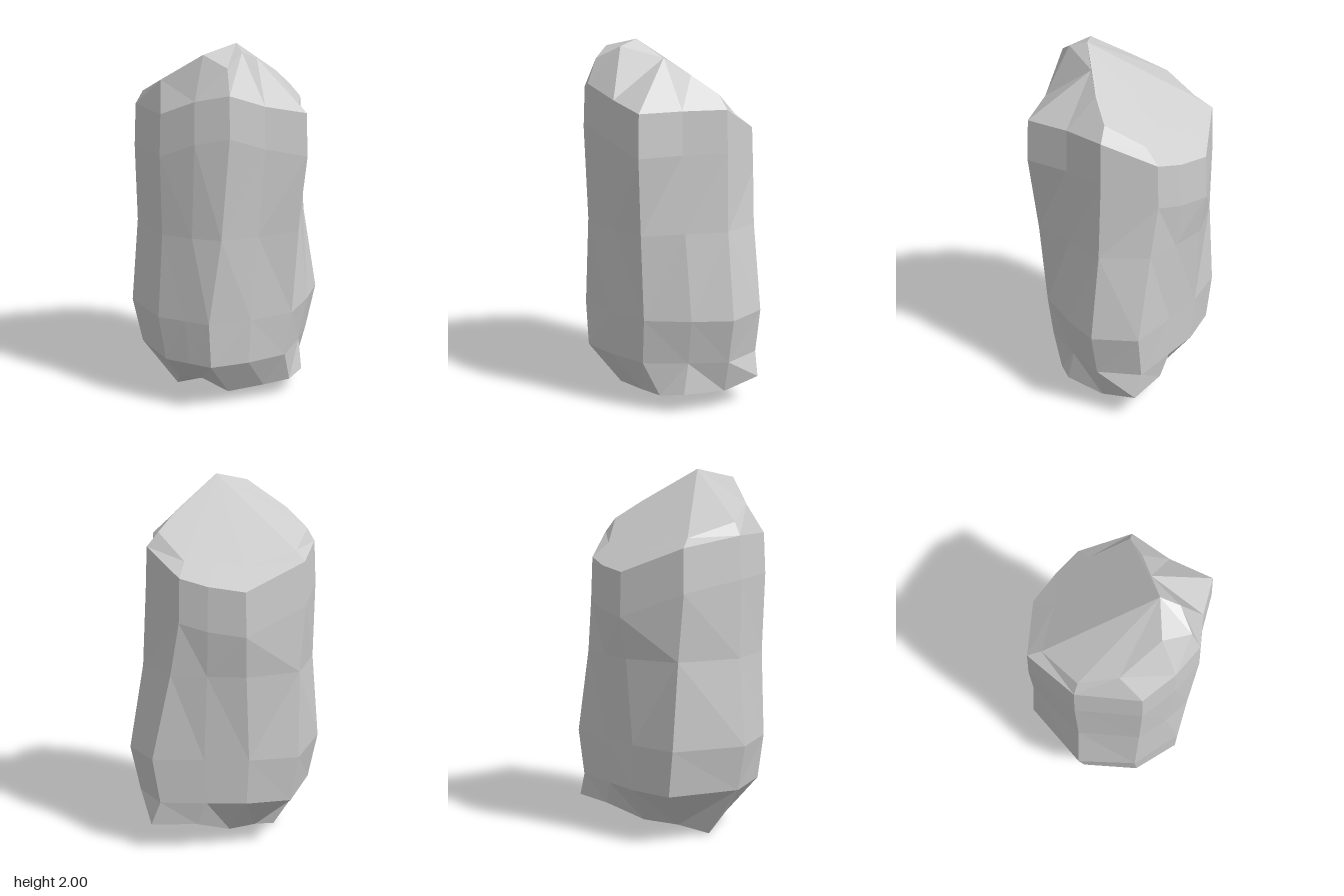
import * as THREE from 'three';

// Outlines as x, z corners, running from the front round through +x
const HIPS = [-.11, .455, .12, .39, .35, .28, .46, .05, .53, -.165, .4, -.385,
  .12, -.4, -.12, -.41, -.39, -.36, -.53, .03, -.38, .32, -.24, .39];
const CHEST = [0, .47, .19, .39, .415, .33, .4, .08, .43, -.165, .25, -.4,
  .1, -.445, -.1, -.475, -.42, -.31, -.5, .02, -.36, .34, -.18, .43];
// Underside rim and crown as x, y, z corners in the same order
const UNDERSIDE = [0, .07, .29, .2, .085, .24, .35, .095, .19, .43, .11, .08,
  .43, .1, -.16, .41, .15, -.37, .16, .15, -.37, -.02, .07, -.25,
  -.17, .05, -.13, -.28, 0, 0, -.27, .1, .14, -.14, .13, .24];
const CROWN = [-.01, 1.9, .41, .07, 1.965, .3, .16, 1.905, .09, .27, 1.82, -.02,
  .36, 1.725, -.14, .22, 1.595, -.3, .06, 1.595, -.3, -.1, 1.57, -.33,
  -.37, 1.64, -.24, -.45, 1.72, .02, -.35, 1.81, .2, -.13, 1.955, .31];
const SIDES = 12;

const cornerRing = (points) =>
  Array.from({ length: SIDES }, (_, i) => new THREE.Vector3().fromArray(points, 3 * i));

// A ring between hips (t = 0) and chest (t = 1), scaled, with heights by a rule
function ring(t, scaleX, scaleZ, height) {
  return Array.from({ length: SIDES }, (_, i) => {
    const x = THREE.MathUtils.lerp(HIPS[2 * i], CHEST[2 * i], t) * scaleX;
    const z = THREE.MathUtils.lerp(HIPS[2 * i + 1], CHEST[2 * i + 1], t) * scaleZ;
    return new THREE.Vector3(x, height(z), z);
  });
}

// The shoulder rises at the front and follows the slanted break at the back
const shoulderHeight = (z) => Math.min(1.65 + 0.9 * Math.max(0, z - 0.33), 1.838 + 0.81 * z);

function buildStone() {
  const rings = [
    cornerRing(UNDERSIDE),
    ring(0, 0.9, 0.98, () => 0.28),
    ring(0, 1, 1, () => 0.53),
    ring(0.6, 0.96, 0.98, () => 1),
    ring(1, 1, 1, (z) => shoulderHeight(z) - 0.23),
    ring(1, 0.98, 0.98, shoulderHeight),
    cornerRing(CROWN),
  ];
  const corners = [];

  // walls: each quad is split along its shorter diagonal
  for (let j = 0; j < rings.length - 1; j++) {
    for (let i = 0; i < SIDES; i++) {
      const k = (i + 1) % SIDES;
      const a = rings[j][i], b = rings[j][k], c = rings[j + 1][k], d = rings[j + 1][i];
      if (a.distanceTo(c) < b.distanceTo(d)) corners.push(a, b, c, a, c, d);
      else corners.push(a, b, d, b, c, d);
    }
  }

  // top fan from the peak, and underside fan
  const peak = new THREE.Vector3(0.045, 2, 0.2);
  const bottom = new THREE.Vector3(0.1, 0.07, 0);
  const rim = rings[0], crown = rings[rings.length - 1];
  for (let i = 0; i < SIDES; i++) {
    const k = (i + 1) % SIDES;
    corners.push(crown[i], crown[k], peak, rim[k], rim[i], bottom);
  }

  const geometry = new THREE.BufferGeometry().setFromPoints(corners);
  geometry.computeVertexNormals();
  return geometry;
}

export function createModel() {
  const group = new THREE.Group();
  group.name = 'standingStone';
  const stone = new THREE.Mesh(
    buildStone(),
    new THREE.MeshStandardMaterial({ color: 0xcccccc, flatShading: true }),
  );
  stone.name = 'rock';
  group.add(stone);
  return group;
}
